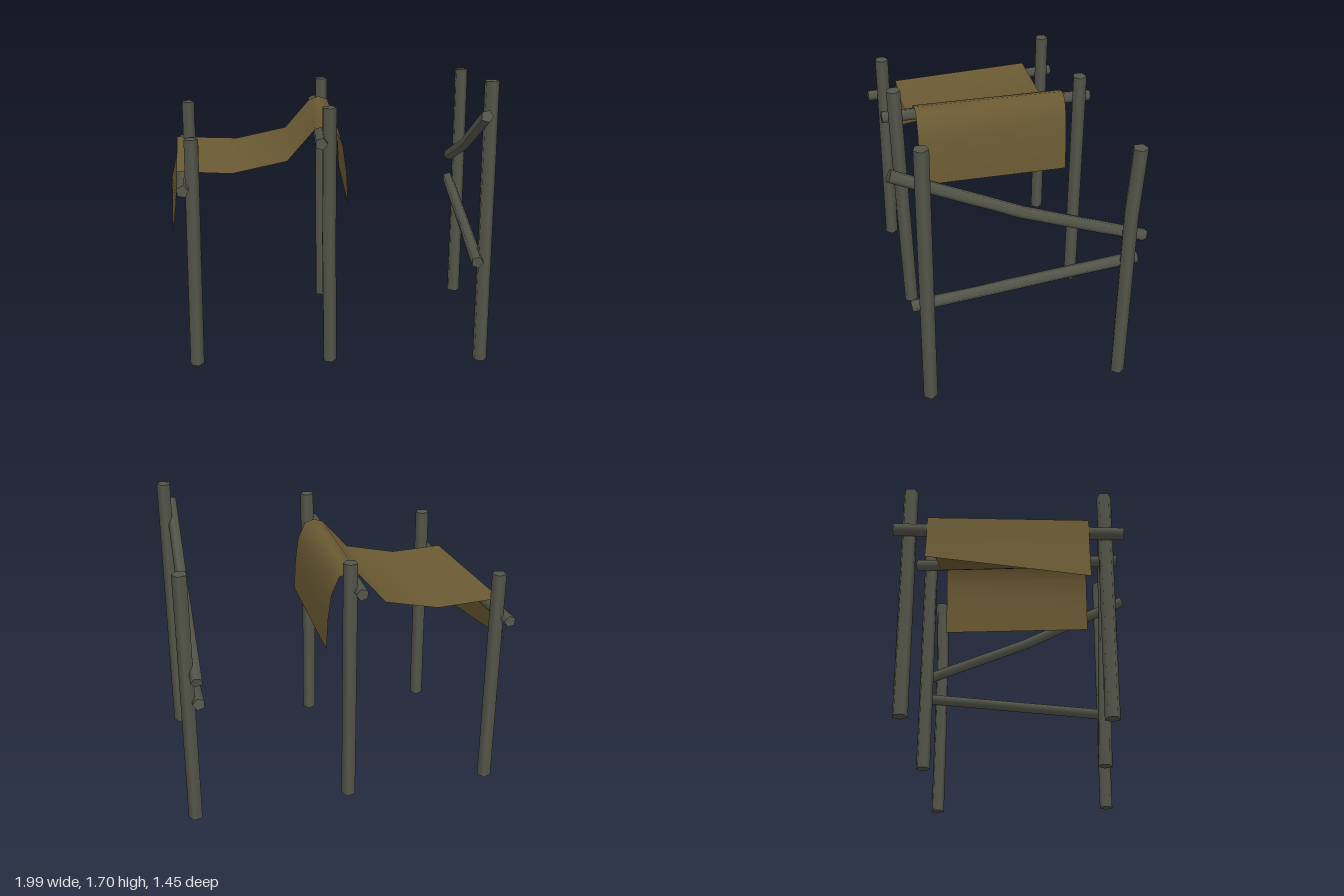
import * as THREE from 'three';

const wood = new THREE.MeshStandardMaterial({ color: 0x55564a });
wood.name = 'weathered wood';
const canvas = new THREE.MeshStandardMaterial({ color: 0x6b5a33, side: THREE.DoubleSide });
canvas.name = 'tan canvas';

// Five-sided pole whose rings follow a short list of points
function pole(name, radius, points) {
  const path = points.map(p => new THREE.Vector3(...p));
  const n = path.length - 1;
  const geo = new THREE.CylinderGeometry(radius, radius, 1, 5, n);
  geo.rotateY(Math.PI / 2); // one corner faces +x
  const dir = path[n].clone().sub(path[0]).normalize();
  const turn = new THREE.Quaternion().setFromUnitVectors(new THREE.Vector3(0, 1, 0), dir);
  const pos = geo.attributes.position;
  const nor = geo.attributes.normal;
  const v = new THREE.Vector3();
  for (let i = 0; i < pos.count; i++) {
    v.fromBufferAttribute(pos, i);
    const ring = Math.round((v.y + 0.5) * n);
    v.setY(0).applyQuaternion(turn).add(path[ring]);
    pos.setXYZ(i, v.x, v.y, v.z);
    v.fromBufferAttribute(nor, i).applyQuaternion(turn);
    nor.setXYZ(i, v.x, v.y, v.z);
  }
  const mesh = new THREE.Mesh(geo, wood);
  mesh.name = name;
  return mesh;
}

// Cloth stretched between a front and a back edge
function sheet(name, front, back) {
  const verts = [];
  const index = [];
  front.forEach((p, i) => {
    verts.push(...p, ...back[i]);
    if (i > 0) {
      const a = 2 * i - 2;
      index.push(a, a + 2, a + 1, a + 1, a + 2, a + 3);
    }
  });
  const geo = new THREE.BufferGeometry();
  geo.setAttribute('position', new THREE.Float32BufferAttribute(verts, 3));
  geo.setIndex(index);
  geo.computeVertexNormals();
  const mesh = new THREE.Mesh(geo, canvas);
  mesh.name = name;
  return mesh;
}

export function createModel() {
  const model = new THREE.Group();
  model.name = 'awningFrame';

  // Upright posts
  const posts = [
    ['rightFrontPost', [[-0.795, 0, 0.535], [-0.79, 0.7, 0.535], [-0.785, 1.38, 0.535]]],
    ['rightBackPost', [[-0.887, 0, -0.577], [-0.887, 1.38, -0.577]]],
    ['middleFrontPost', [[0.003, 0, 0.517], [-0.005, 0.75, 0.54], [-0.003, 1.56, 0.563]]],
    ['middleBackPost', [[0, 0, -0.575], [0, 1.53, -0.573]]],
    ['leftFrontPost', [[0.912, 0, 0.547], [0.912, 1.7, 0.547]]],
    ['leftBackPost', [[0.945, 0, -0.6], [0.945, 1.15, -0.6], [0.948, 1.575, -0.62]]],
  ];
  for (const [name, points] of posts) model.add(pole(name, 0.044, points));

  // Cross rails
  const rails = [
    ['rightRail', [[-0.833, 1.1, 0.635], [-0.945, 1.1, -0.657]]],
    ['middleRail', [[-0.05, 1.365, 0.635], [-0.05, 1.365, -0.657]]],
    ['leftDiagonalRail', [[0.86, 1.53, 0.71], [0.88, 1.21, 0], [0.9, 0.96, -0.71]]],
    ['leftLowerRail', [[0.86, 0.645, 0.625], [0.893, 0.805, -0.68]]],
  ];
  for (const [name, points] of rails) model.add(pole(name, 0.037, points));

  // Sagging canopy with its rounded left drop
  const profile = [
    [-0.56, 1.15], [-0.24, 1.22], [-0.08, 1.405], [-0.02, 1.425],
    [0.04, 1.405], [0.085, 1.3], [0.105, 1.15], [0.115, 0.955],
  ];
  const ridgeFront = [-0.88, 1.165, 0.44];
  const ridgeBack = [-0.955, 1.165, -0.465];
  model.add(sheet('canopy',
    [ridgeFront, ...profile.map(([x, y]) => [x, y, 0.44])],
    [ridgeBack, ...profile.map(([x, y]) => [x, y, -0.475])]));

  // Slanted right flap
  model.add(sheet('rightFlap',
    [[-0.915, 0.79, 0.445], [-0.888, 0.98, 0.442], ridgeFront],
    [[-1.0, 0.89, -0.465], [-0.967, 1.03, -0.465], ridgeBack]));

  return model;
}
